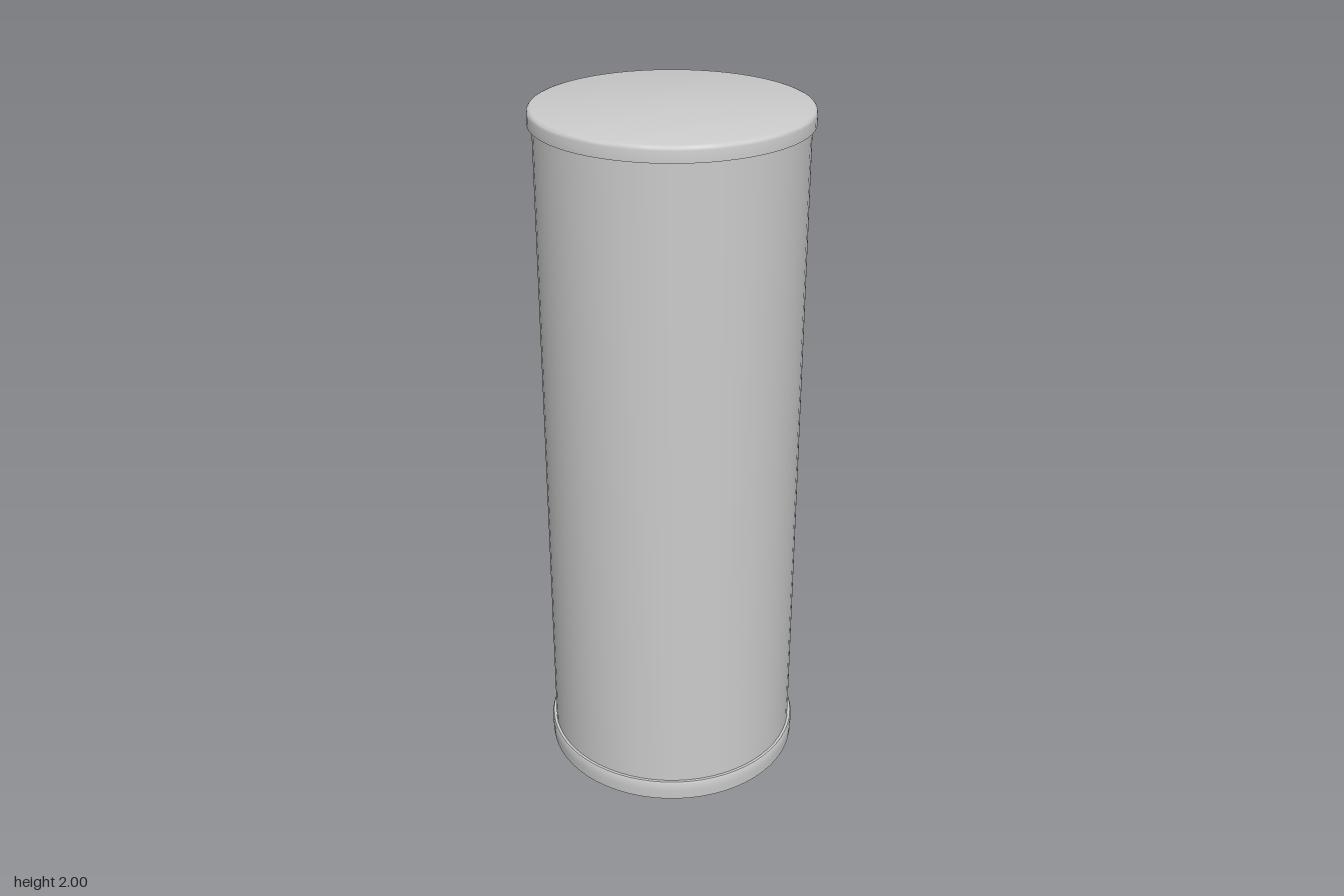
import * as THREE from 'three';
import { toCreasedNormals } from 'three/addons/utils/BufferGeometryUtils.js';

export function createModel() {
  const group = new THREE.Group();
  const material = new THREE.MeshStandardMaterial({ color: 0xcccccc, side: THREE.DoubleSide });

  // Turned part from [radius, height] pairs, listed bottom to top
  const turned = (name, profile) => {
    const points = profile.map(([r, y]) => new THREE.Vector2(r, y));
    const geometry = toCreasedNormals(new THREE.LatheGeometry(points, 64), 0.6);
    const mesh = new THREE.Mesh(geometry, material);
    mesh.name = name;
    group.add(mesh);
  };

  // Open-ended tube
  turned('body', [[0.368, 0.055], [0.368, 1.957]]);

  // Hollow skirt at the open bottom, with a narrow sloped ledge up to the tube
  turned('baseRing', [[0.377, 0], [0.379, 0.03], [0.379, 0.055], [0.376, 0.062], [0.368, 0.062]]);

  // Lid with a softened top edge and a flat underside lip
  turned('lid', [
    [0.368, 1.957], [0.38, 1.957], [0.38, 1.988], [0.3785, 1.994],
    [0.375, 1.998], [0.369, 2], [0, 2],
  ]);

  return group;
}
